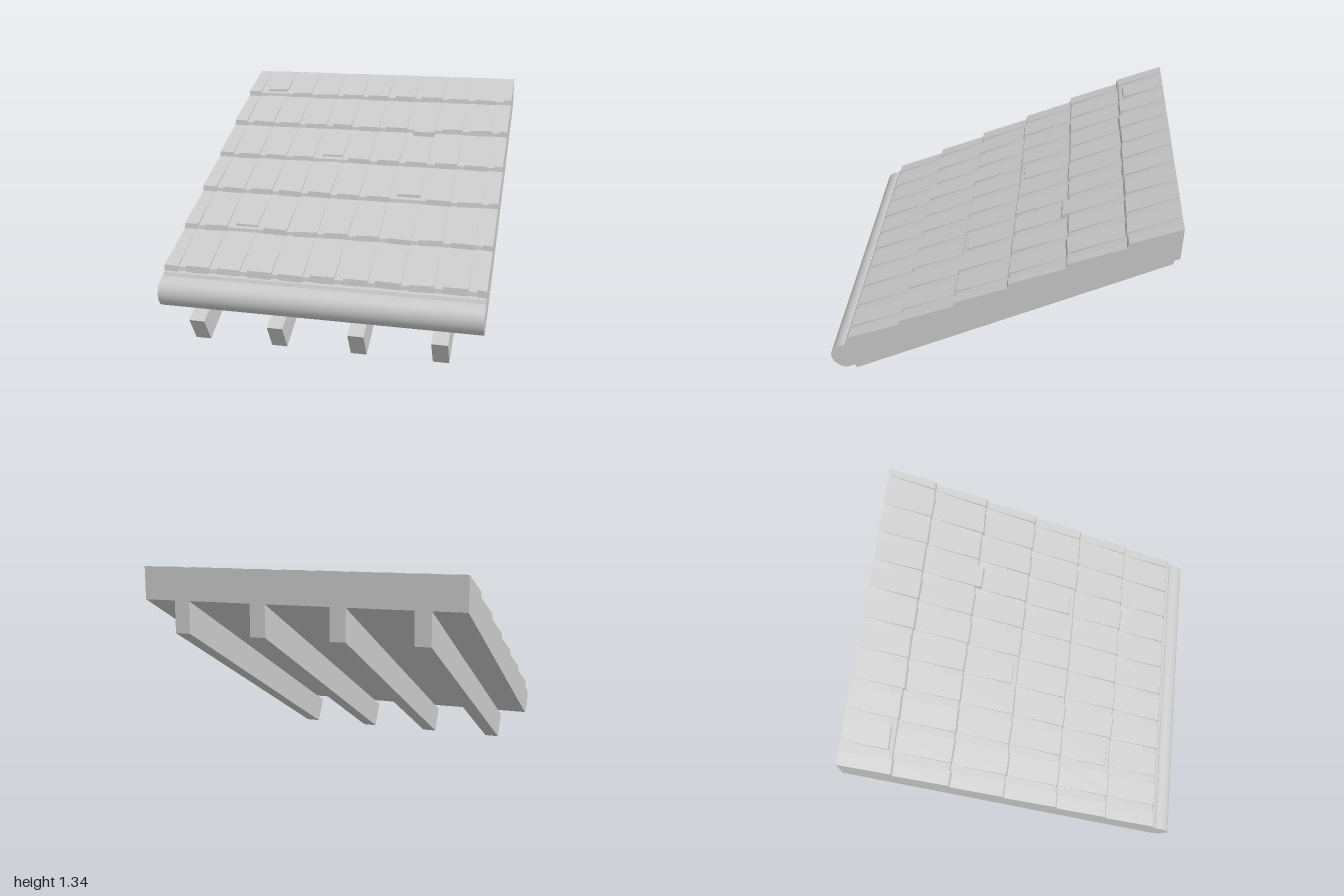
import * as THREE from 'three';

const HALF = 0.96;
const material = new THREE.MeshStandardMaterial({ color: 0xcccccc });

// small seeded generator, returns -1..1
let seed = 7;
const jitter = () => {
  seed = (seed * 16807) % 2147483647;
  return (seed / 2147483647) * 2 - 1;
};

// height of the roof deck at depth z
const deckY = (z) => 0.4 + 0.495 * (0.9 - z);

function add(group, name, geometry) {
  const mesh = new THREE.Mesh(geometry, material);
  mesh.name = name;
  group.add(mesh);
  return mesh;
}

// side profile of [z, y] points, extruded across x and centred
function extrudeSide(points, width) {
  const shape = new THREE.Shape(points.map(([z, y]) => new THREE.Vector2(z, y)));
  const geometry = new THREE.ExtrudeGeometry(shape, { depth: width, bevelEnabled: false });
  return geometry.translate(0, 0, -width / 2).rotateY(-Math.PI / 2);
}

// wedge lying on the deck, thick at the front and thin at the back
function wedge(x0, x1, zFront, zBack, thick, thin, skew0 = 0, skew1 = 0, tilt = 0) {
  const geometry = new THREE.BoxGeometry(1, 1, 1);
  const p = geometry.attributes.position;
  for (let i = 0; i < p.count; i++) {
    const right = p.getX(i) > 0, top = p.getY(i) > 0, front = p.getZ(i) > 0;
    let x = right ? x1 : x0;
    if (!front) x += right ? skew1 : skew0;
    const edge = zFront + (right ? tilt : -tilt);
    const z = front ? edge - (top ? 0.01 : 0) : zBack;
    const y = deckY(z) + (top ? (front ? thick : thin) : -0.012);
    p.setXYZ(i, THREE.MathUtils.clamp(x, -HALF, HALF), y, z);
  }
  geometry.computeVertexNormals();
  return geometry;
}

export function createModel() {
  seed = 7;
  const model = new THREE.Group();
  model.name = 'roofSection';

  // solid sloping deck
  add(model, 'roofDeck', extrudeSide(
    [[0.91, 0.2], [0.91, 0.38], [0.9, 0.4], [-1, deckY(-1)], [-1, 1.15]], HALF * 2));

  // rounded eave along the lower edge
  const eave = new THREE.CylinderGeometry(0.09, 0.09, HALF * 2, 24, 1, false, -Math.PI / 2, Math.PI);
  eave.rotateZ(Math.PI / 2).translate(0, 0.29, 0.91);
  add(model, 'eaveRoll', eave);

  // rafters under the deck
  for (const x of [-0.72, -0.24, 0.24, 0.72]) {
    const rafter = extrudeSide([[0.91, 0], [1, 0.15], [-1, 1.15], [-1, 0.96]], 0.094);
    add(model, 'rafter', rafter).position.x = x;
  }

  // overlapping shingle courses; a few shingles have slipped up or down
  const rows = [0.89, 0.57, 0.25, -0.065, -0.385, -0.705];
  const slipped = { 1: [2, -0.025], 2: [7, -0.03], 3: [4, -0.03], 4: [7, 0.035], 5: [1, -0.03] };
  const gapCount = 10, pitch = 0.192, gap = 0.048;
  rows.forEach((z, r) => {
    const course = new THREE.Group();
    course.name = 'shingleCourse' + (r + 1);
    model.add(course);
    const zBack = Math.max(z - 0.365, -1);
    const thin = zBack === -1 ? 0.004 : 0.001;

    // lower layer seen in the gaps
    add(course, 'underShingles', wedge(-HALF, HALF, z - 0.004, zBack, 0.021, thin * 0.5));

    // upper shingles
    for (let i = 0; i <= gapCount; i++) {
      const left = i === 0 ? -HALF : -0.87 + pitch * (i - 1) + gap + jitter() * 0.004;
      const right = i === gapCount ? HALF : -0.87 + pitch * i + jitter() * 0.004;
      const slip = slipped[r] && slipped[r][0] === i ? slipped[r][1] : jitter() * 0.004;
      const skew0 = i === 0 ? 0 : jitter() * 0.006;
      const skew1 = i === gapCount ? 0 : -0.006 + jitter() * 0.006;
      add(course, 'shingle', wedge(left, right, z + slip, zBack,
        0.034 + jitter() * 0.003, thin, skew0, skew1, jitter() * 0.003));
    }
  });

  return model;
}
